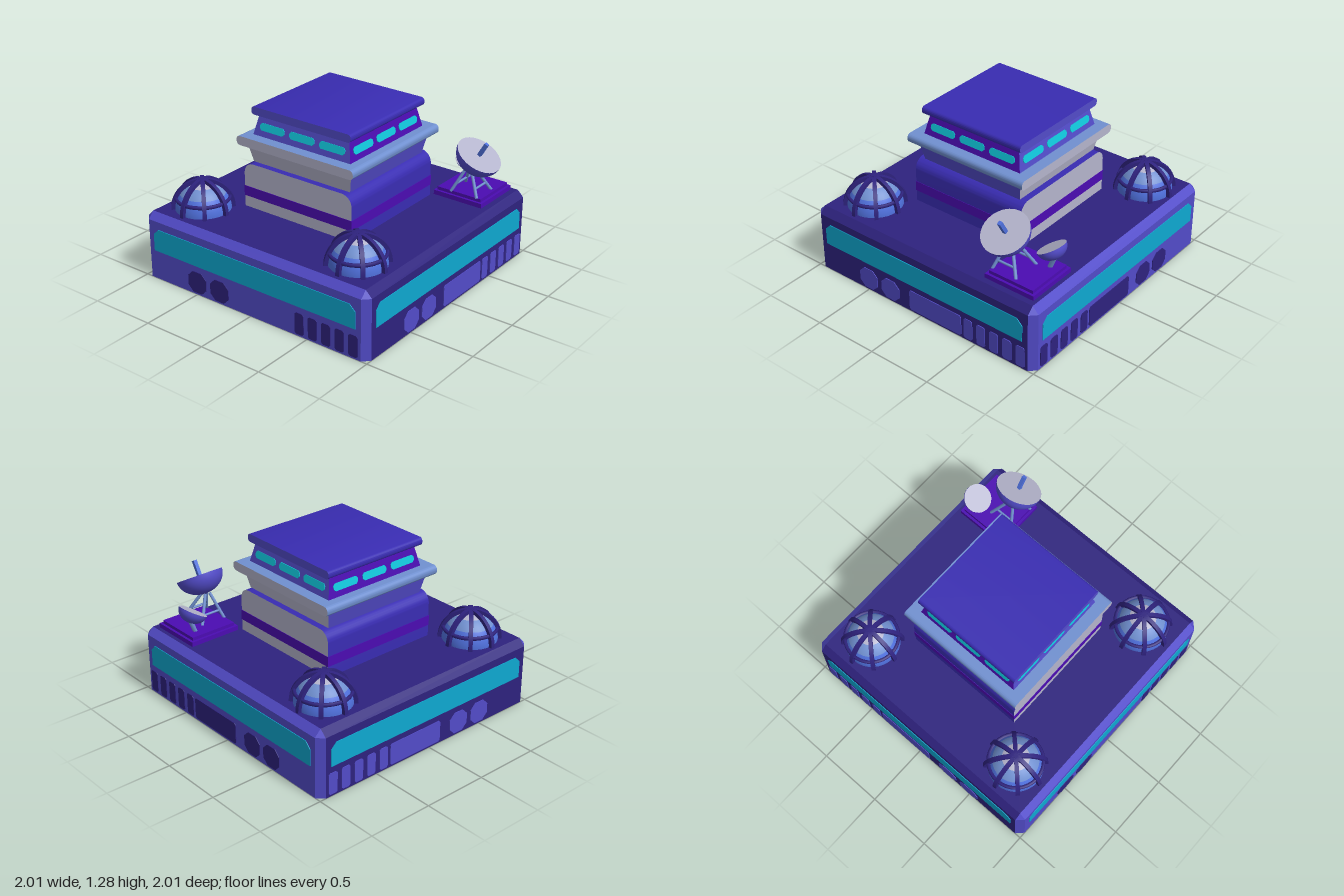
import * as THREE from 'three';
import { toCreasedNormals } from 'three/addons/utils/BufferGeometryUtils.js';

const mat = (name, color) => {
  const m = new THREE.MeshStandardMaterial({ color });
  m.name = name;
  return m;
};

export function createModel() {
  const gray = mat('paleGray', 0xb4b4cc), navy = mat('navy', 0x2e227e), violet = mat('violet', 0x524bc8),
    blue = mat('blue', 0x392cb2), purple = mat('purple', 0x4b0cb2), cyan = mat('cyan', 0x0ea8d0),
    aqua = mat('aqua', 0x10c8dc), slate = mat('slateBlue', 0x7090d0), azure = mat('azure', 0x4f70dc);
  const model = new THREE.Group();
  model.name = 'commandBase';

  const add = (parent, name, geo, material, x = 0, y = 0, z = 0) => {
    const m = new THREE.Mesh(geo, material);
    m.name = name;
    m.position.set(x, y, z);
    parent.add(m);
    return m;
  };
  const group = (parent, name, x = 0, y = 0, z = 0) => {
    const g = new THREE.Group();
    g.name = name;
    g.position.set(x, y, z);
    parent.add(g);
    return g;
  };
  // flat polygon from three or four counter-clockwise corners
  const face = (...p) => {
    const idx = p.length === 4 ? [0, 1, 2, 0, 2, 3] : [0, 1, 2];
    const g = new THREE.BufferGeometry();
    g.setAttribute('position', new THREE.Float32BufferAttribute(idx.flatMap(i => p[i]), 3));
    g.computeVertexNormals();
    return g;
  };
  // thin plate with cut corners, centred on the origin and facing +z
  const plate = (w, h, top, bottom) => {
    const a = w / 2, b = h / 2;
    const pts = [[-a + bottom, -b], [a - bottom, -b], [a, -b + bottom], [a, b - top],
      [a - top, b], [-a + top, b], [-a, b - top], [-a, -b + bottom]];
    const shape = new THREE.Shape(pts.map(p => new THREE.Vector2(...p)));
    return new THREE.ExtrudeGeometry(shape, { depth: 0.005, bevelEnabled: false });
  };

  // Base: bevelled block with panelled sides
  const H = 1, C = 0.95, Y1 = 0.465, Y2 = 0.515;
  const base = group(model, 'base');
  for (let k = 0; k < 4; k++) {
    const side = group(base, ['front', 'right', 'back', 'left'][k] + 'Side');
    side.rotation.y = k * Math.PI / 2;
    const body = k % 2 ? navy : violet, detail = k % 2 ? violet : navy, dir = k < 2 ? 1 : -1;
    add(side, 'wall', face([-C, 0, H], [C, 0, H], [C, Y1, H], [-C, Y1, H]), body);
    add(side, 'topBevel', face([-C, Y1, H], [C, Y1, H], [C, Y2, C], [-C, Y2, C]), body);
    add(side, 'cornerBevel', face([C, 0, H], [H, 0, C], [H, Y1, C], [C, Y1, H]), violet);
    add(side, 'cornerTip', face([C, Y1, H], [H, Y1, C], [C, Y2, C]), violet);
    add(side, 'windowBand', plate(1.81, 0.175, 0.045, 0), cyan, 0, 0.317, H);
    for (const x of [-0.495, -0.285])
      add(side, 'octagonHatch', plate(0.17, 0.166, 0.045, 0.045), detail, dir * x, 0.098, H);
    for (let i = 0; i < 5; i++)
      add(side, 'vent', plate(0.075, 0.166, 0.012, 0.012), detail, dir * (0.436 + i * 0.1133), 0.098, H);
    if (k > 0) add(side, 'longPanel', plate(0.475, 0.166, 0.012, 0.012), detail, dir * 0.137, 0.098, H);
  }
  add(base, 'deck', new THREE.PlaneGeometry(2 * C, 2 * C).rotateX(-Math.PI / 2), navy, 0, Y2, 0);
  const foot = new THREE.Shape([[-C, -H], [C, -H], [H, -C], [H, C], [C, H], [-C, H], [-H, C], [-H, -C]]
    .map(p => new THREE.Vector2(...p)));
  add(base, 'underside', new THREE.ShapeGeometry(foot).rotateX(Math.PI / 2), navy);

  // Tower: rounded slabs run front to back, tapered storeys between them
  const tower = group(model, 'tower');
  const slab = (name, half, y0, y1, r, roundBottom, cap, side) => {
    const s = new THREE.Shape(), q = Math.PI / 2, b = roundBottom ? r : 0;
    s.moveTo(-half + b, y0).lineTo(half - b, y0);
    if (b) s.absarc(half - b, y0 + b, b, -q, 0, false);
    s.absarc(half - r, y1 - r, r, 0, q, false);
    s.absarc(-half + r, y1 - r, r, q, 2 * q, false);
    if (b) s.absarc(-half + b, y0 + b, b, 2 * q, 3 * q, false);
    else s.lineTo(-half, y0);
    const g = new THREE.ExtrudeGeometry(s, { depth: 2 * half, bevelEnabled: false, curveSegments: 8 });
    add(tower, name, toCreasedNormals(g.translate(0, 0, -half), 0.5), [cap, side]);
  };
  const storey = (name, bottom, top, y0, y1, frontMat, sideMat) => {
    const g = new THREE.BoxGeometry(2, y1 - y0, 2), p = g.attributes.position;
    for (let i = 0; i < p.count; i++) {
      const s = p.getY(i) > 0 ? top : bottom;
      p.setX(i, p.getX(i) * s);
      p.setZ(i, p.getZ(i) * s);
    }
    g.computeVertexNormals();
    add(tower, name, g, [sideMat, sideMat, sideMat, sideMat, frontMat, frontMat], 0, (y0 + y1) / 2, 0);
  };
  slab('lowerBlock', 0.48, Y2, 0.86, 0.085, false, gray, blue);
  add(tower, 'purpleStripe', new THREE.BoxGeometry(0.966, 0.077, 0.966), purple, 0, 0.638, 0);
  storey('middleStorey', 0.43, 0.46, 0.86, 1.0, gray, violet);
  slab('balcony', 0.515, 1.0, 1.07, 0.03, true, gray, slate);
  storey('upperStorey', 0.43, 0.395, 1.07, 1.225, violet, purple);
  slab('roof', 0.437, 1.225, 1.285, 0.025, true, violet, blue);
  for (let k = 0; k < 4; k++) {
    const row = group(tower, 'windowRow');
    row.rotation.y = k * Math.PI / 2;
    for (const x of [-0.265, 0, 0.265])
      add(row, 'window', plate(0.22, 0.055, 0.016, 0.016), aqua, x, 1.14, 0.4142).rotation.x = -0.222;
  }

  // Ribbed domes on three corners
  const rib = new THREE.Shape();
  rib.absarc(0, 0, 0.232, 0, Math.PI, false);
  rib.absarc(0, 0, 0.203, Math.PI, 0, true);
  const ribGeo = toCreasedNormals(new THREE.ExtrudeGeometry(rib,
    { depth: 0.03, bevelEnabled: false, curveSegments: 20 }).translate(0, 0, -0.015), 0.5);
  const bands = [[0, 0.5, gray], [0.5, 0.95, slate], [0.95, Math.PI / 2, azure]];
  for (const [x, z] of [[-0.7, 0.69], [0.695, 0.69], [-0.7, -0.71]]) {
    const dome = group(model, 'dome', x, Y2, z);
    for (const [a, b, m] of bands)
      add(dome, 'domeBand', new THREE.SphereGeometry(0.205, 32, 6, 0, Math.PI * 2, a, b - a), m);
    for (let i = 0; i < 4; i++) add(dome, 'rib', ribGeo, navy).rotation.y = i * Math.PI / 4;
    add(dome, 'ringRib', new THREE.TorusGeometry(0.195, 0.014, 6, 32).rotateX(Math.PI / 2), navy, 0, 0.085, 0);
  }

  // Antenna pad with two dishes
  const antenna = group(model, 'antenna');
  add(antenna, 'padLower', new THREE.BoxGeometry(0.41, 0.035, 0.41), purple, 0.7, 0.5325, -0.715);
  add(antenna, 'padUpper', new THREE.BoxGeometry(0.37, 0.025, 0.37), purple, 0.7, 0.5625, -0.715);
  const dish = (name, r, depth, x, y, z) => {
    const g = group(antenna, name, x, y, z), pts = [];
    for (let i = 0; i <= 8; i++) {
      const a = i / 8 * Math.PI / 2;
      pts.push(new THREE.Vector2(r * Math.sin(a), -depth * Math.cos(a)));
    }
    add(g, 'bowl', new THREE.LatheGeometry(pts, 28), violet);
    add(g, 'dishFace', new THREE.CircleGeometry(r, 28).rotateX(-Math.PI / 2), gray);
    return g;
  };
  const strut = (name, a, b, r) => {
    const p = new THREE.Vector3(...a), d = new THREE.Vector3(...b).sub(p);
    const m = add(antenna, name, new THREE.CylinderGeometry(r, r, d.length(), 8), slate);
    m.position.copy(p).addScaledVector(d, 0.5);
    m.quaternion.setFromUnitVectors(new THREE.Vector3(0, 1, 0), d.normalize());
  };
  const big = dish('largeDish', 0.175, 0.142, 0.81, 0.877, -0.61);
  big.rotation.z = -Math.PI / 6;
  add(big, 'feed', new THREE.BoxGeometry(0.028, 0.115, 0.028), azure, 0, 0.0575, 0);
  const small = dish('smallDish', 0.108, 0.088, 0.595, 0.735, -0.83);
  small.rotation.x = Math.PI / 6;
  strut('smallDishStem', [0.595, 0.57, -0.82], [0.595, 0.67, -0.86], 0.018);
  // four splayed legs joined by crossbars
  for (const s of [-1, 1]) {
    for (const t of [-1, 1])
      strut('leg', [0.74 + s * 0.11, 0.57, -0.632 + t * 0.1], [0.74 + s * 0.02, 0.76, -0.61 + t * 0.02], 0.012);
    strut('crossbar', [0.74 + s * 0.08, 0.63, -0.70], [0.74 + s * 0.08, 0.63, -0.55], 0.009);
  }
  return model;
}
